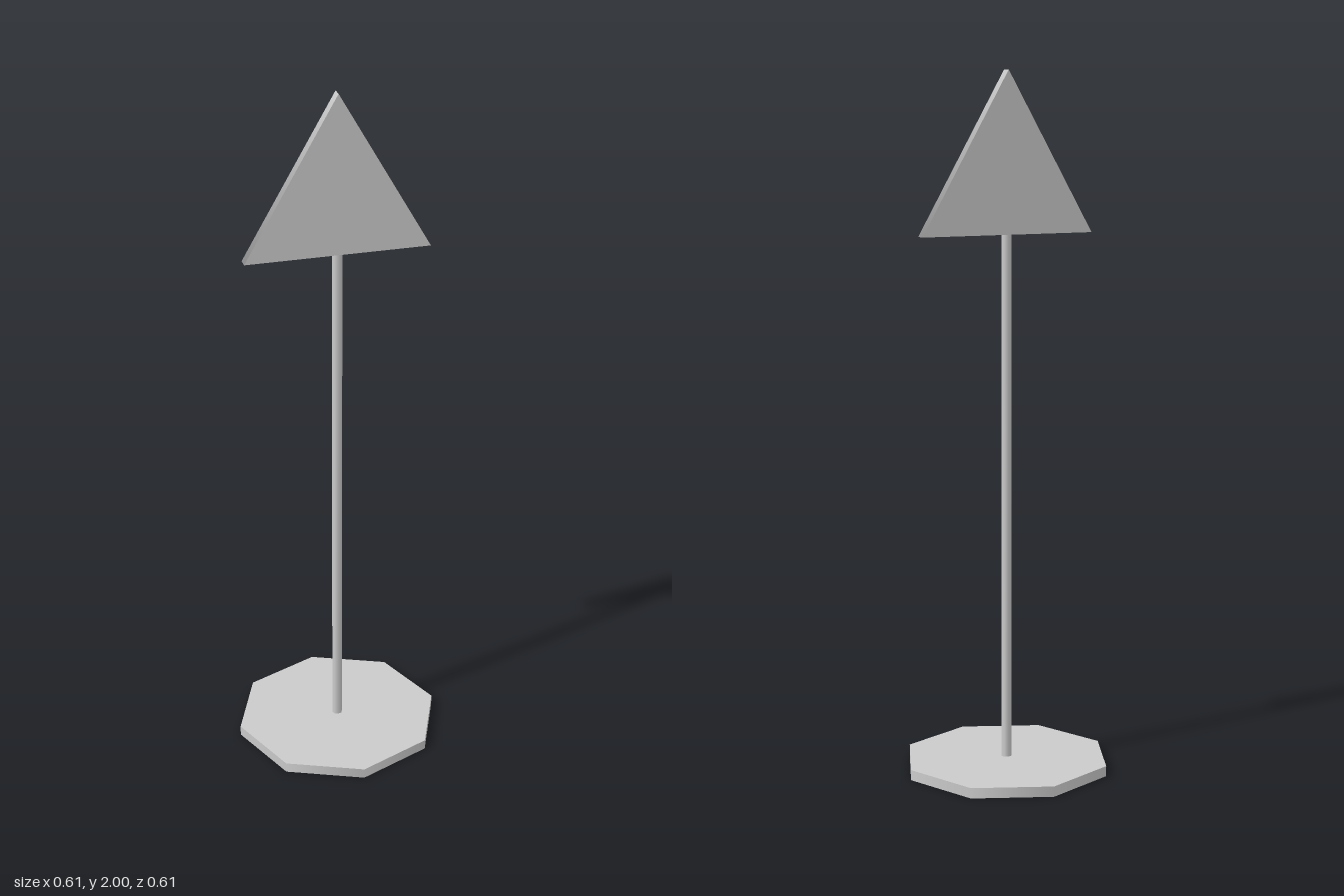
import * as THREE from 'three';

const RADIUS = 0.303;      // shared by the base and the triangular plate
const THICKNESS = 0.03;

export function createModel() {
  const group = new THREE.Group();
  const material = new THREE.MeshStandardMaterial({ color: 0xcccccc });

  function add(name, geometry, y) {
    const mesh = new THREE.Mesh(geometry, material);
    mesh.name = name;
    mesh.position.y = y;
    group.add(mesh);
  }

  // Octagonal foot
  add('base', new THREE.CylinderGeometry(RADIUS, RADIUS, THICKNESS, 8), THICKNESS / 2);

  // Thin upright, from the foot to the lower edge of the plate
  const plateY = 2 - RADIUS;
  const poleTop = plateY - RADIUS / 2;
  add('pole', new THREE.CylinderGeometry(0.015, 0.015, poleTop, 8), poleTop / 2);

  // Triangular plate: a three-sided disc turned upright, one corner up
  const plate = new THREE.CylinderGeometry(RADIUS, RADIUS, THICKNESS, 3);
  plate.rotateX(-Math.PI / 2);
  add('signPlate', plate, plateY);

  return group;
}
